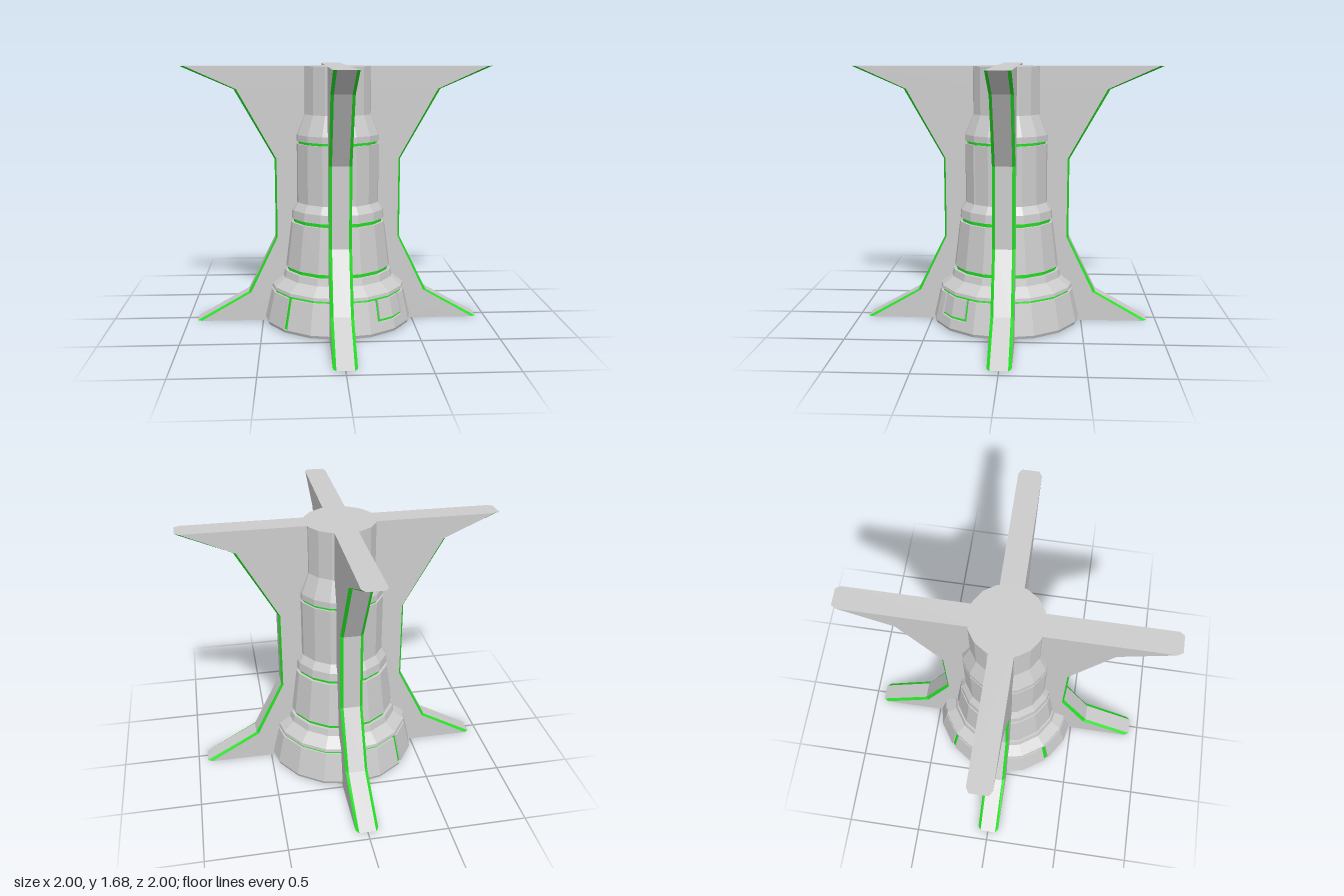
import * as THREE from 'three';

const SIDES = 16, STEP = 360 / SIDES;
const grey = new THREE.MeshStandardMaterial({ color: 0xcccccc, flatShading: true });
const green = new THREE.MeshStandardMaterial({ color: 0x22dd22, flatShading: true });

// Skin between matching cross-sections; edges picks which sides of the section to build
function loft(sections, edges, caps) {
  const n = sections[0].length, pos = [];
  const tri = (...pts) => pts.forEach(p => pos.push(...p));
  for (let i = 0; i < sections.length - 1; i++) {
    const a = sections[i], b = sections[i + 1];
    for (const k of edges) {
      const m = (k + 1) % n;
      tri(a[k], b[k], b[m]);
      tri(a[k], b[m], a[m]);
    }
  }
  if (caps) {
    const s = sections[0], e = sections[sections.length - 1];
    for (let k = 1; k < n - 1; k++) {
      tri(s[0], s[k], s[k + 1]);
      tri(e[0], e[k + 1], e[k]);
    }
  }
  const g = new THREE.BufferGeometry();
  g.setAttribute('position', new THREE.Float32BufferAttribute(pos, 3));
  g.computeVertexNormals();
  return g;
}

// Faceted armour plate around the column between two angles (degrees from +z towards +x)
function plate(a0, a1, y0, y1, radius) {
  const angles = [a0];
  for (let a = Math.floor(a0 / STEP + 1) * STEP; a < a1; a += STEP) angles.push(a);
  angles.push(a1);
  const r0 = radius(y0), r1 = radius(y1), depth = 0.035;
  const profile = [[r0 - depth, y0], [r0, y0], [r1, y1], [r1 - depth, y1]];
  const sections = angles.map(a => {
    const t = THREE.MathUtils.degToRad(a);
    const off = a - (Math.floor(a / STEP) + 0.5) * STEP;
    // keeps in-between points on the flat facet
    const f = Math.cos(Math.PI / SIDES) / Math.cos(THREE.MathUtils.degToRad(off));
    return profile.map(([r, y]) => [r * f * Math.sin(t), y, r * f * Math.cos(t)]);
  });
  return loft(sections, [0, 1, 2, 3], true);
}

// Solid turned block from [radius, y] points
function turned(points) {
  const pts = [[0, points[0][1]], ...points, [0, points[points.length - 1][1]]];
  return new THREE.LatheGeometry(pts.map(p => new THREE.Vector2(...p)), SIDES);
}

function add(parent, name, geometry, material) {
  const mesh = new THREE.Mesh(geometry, material);
  mesh.name = name;
  parent.add(mesh);
}

function createColumn() {
  const column = new THREE.Group();
  column.name = 'column';
  const baseR = y => 0.505 - 0.23 * y;
  const shaftR = () => 0.28;

  // Solid grey tiers
  add(column, 'basePlate', turned([[0.49, 0.01], [0.498, 0.03]]), grey);
  add(column, 'baseCollar', turned([[0.45, 0.24], [0.447, 0.26], [0.375, 0.315], [0.365, 0.36]]), grey);
  add(column, 'taperedTier', turned([[0.357, 0.385], [0.32, 0.68]]), grey);
  add(column, 'middleCollar', turned([[0.317, 0.705], [0.312, 0.76], [0.28, 0.81]]), grey);
  add(column, 'neck', turned([[0.28, 1.21], [0.28, 1.25], [0.227, 1.38], [0.227, 1.685]]), grey);

  // Green cores showing through the grooves
  add(column, 'baseCore', turned([[baseR(0.03) - 0.013, 0.03], [baseR(0.24) - 0.013, 0.24]]), green);
  add(column, 'lowerGroove', turned([[0.345, 0.355], [0.345, 0.39]]), green);
  add(column, 'middleGroove', turned([[0.302, 0.675], [0.302, 0.71]]), green);
  add(column, 'shaftCore', turned([[0.267, 0.8], [0.267, 1.215]]), green);

  // Base plates: two open slots, and a framed hatch at 45 degrees
  for (const [a0, a1] of [[-43, 30], [60, 223], [227, 313]])
    add(column, 'basePanel', plate(a0, a1, 0.03, 0.225, baseR), grey);
  add(column, 'hatchSill', plate(30, 60, 0.03, 0.09, baseR), grey);
  add(column, 'hatch', plate(32.5, 57.5, 0.107, 0.225, baseR), grey);

  // Shaft plate with one seam
  add(column, 'shaftPanel', plate(46.5, 403.5, 0.81, 1.192, shaftR), grey);
  return column;
}

function createFin() {
  const fin = new THREE.Group();
  fin.name = 'fin';
  // [height, outer edge, chamfer width, inner edge]
  const levels = [
    [0, 0.94, 0.028, 0.19], [0.195, 0.595, 0.018, 0.1], [0.57, 0.41, 0.013, 0.1],
    [1.09, 0.41, 0.013, 0.1], [1.54, 0.665, 0.018, 0.1], [1.685, 1, 0.03, 0.1],
  ];
  const t = 0.072, e = 0.053;
  const sections = levels.map(([y, x, w, inner]) => [
    [inner, y, -t], [x - w, y, -t], [x, y, -e], [x, y, e], [x - w, y, t], [inner, y, t],
  ]);
  add(fin, 'finBody', loft(sections, [0, 2, 4, 5], true), grey);
  add(fin, 'finEdgeTrim', loft(sections, [1, 3], false), green);
  return fin;
}

export function createModel() {
  const model = new THREE.Group();
  model.name = 'finnedPillar';
  model.add(createColumn());
  for (let i = 0; i < 4; i++) {
    const fin = createFin();
    fin.rotation.y = i * Math.PI / 2;
    model.add(fin);
  }
  return model;
}
